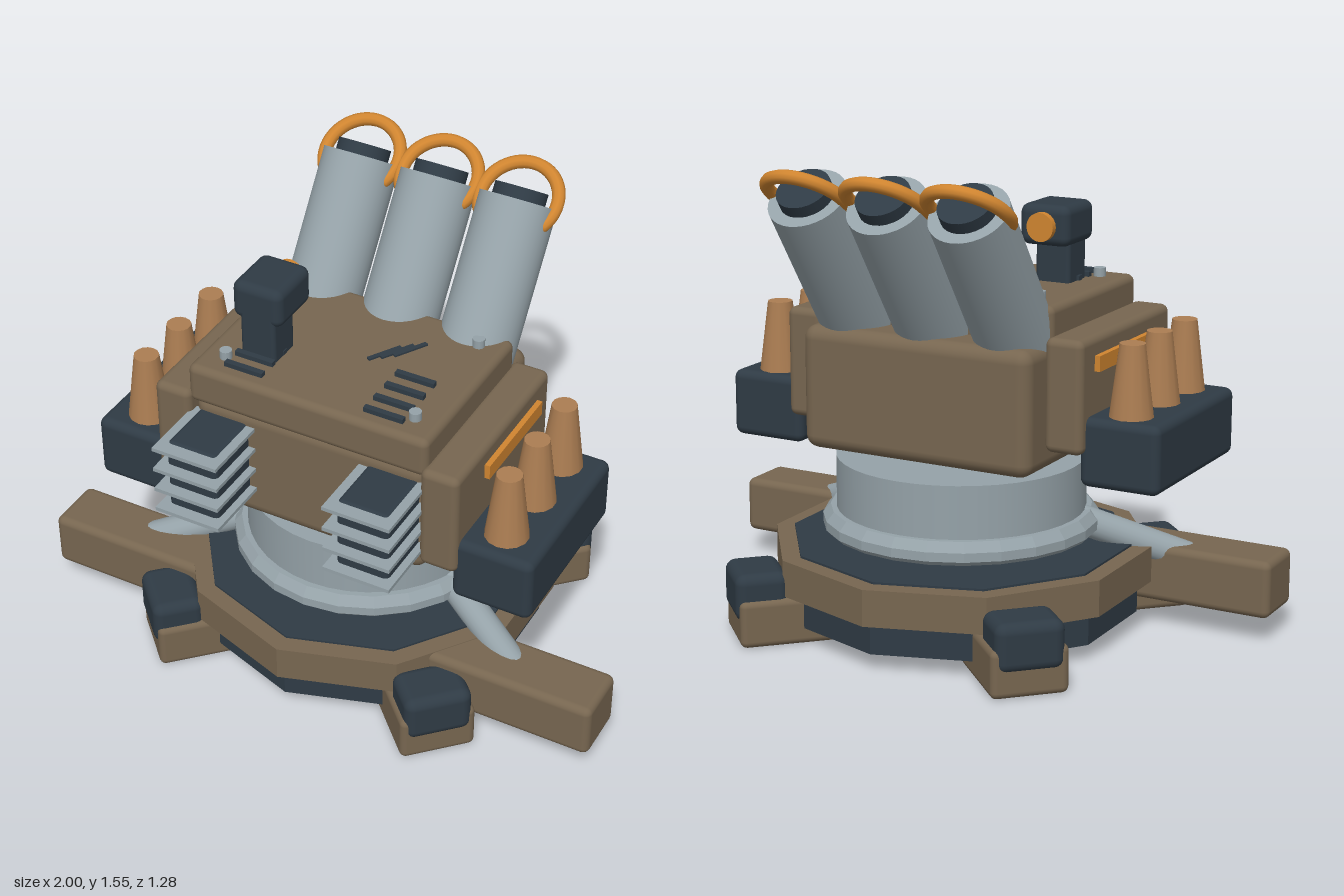
import * as THREE from 'three';
import { RoundedBoxGeometry } from 'three/addons/geometries/RoundedBoxGeometry.js';

const mat = (color, flatShading = false) => new THREE.MeshStandardMaterial({ color, flatShading });
const brown = mat(0x776650), dark = mat(0x2f3b45), steel = mat(0x95a2a8);
const orange = mat(0xd08530), copper = mat(0xab7d52);
const brownFlat = mat(0x776650, true), darkFlat = mat(0x2f3b45, true), steelFlat = mat(0x95a2a8, true);

export function createModel() {
  const model = new THREE.Group();
  const baseZ = -0.01;

  const add = (name, geometry, material, x = 0, y = 0, z = 0, parent = model) => {
    const mesh = new THREE.Mesh(geometry, material);
    mesh.name = name;
    mesh.position.set(x, y, z);
    parent.add(mesh);
    return mesh;
  };
  // Rounded block given by its lower and upper limits
  const block = (name, material, [x0, x1], [y0, y1], [z0, z1], r = 0.025, parent = model) =>
    add(name, new RoundedBoxGeometry(x1 - x0, y1 - y0, z1 - z0, 3, r), material,
      (x0 + x1) / 2, (y0 + y1) / 2, (z0 + z1) / 2, parent);
  const plate = (name, material, w, h, d, x, y, z) =>
    add(name, new THREE.BoxGeometry(w, h, d), material, x, y, z);
  // Disc between two heights
  const disc = (name, material, r, y0, y1, sides) =>
    add(name, new THREE.CylinderGeometry(r, r, y1 - y0, sides), material, 0, (y0 + y1) / 2, baseZ);
  // Mirrored interval for the side s
  const span = (s, a, b) => (s > 0 ? [a, b] : [-b, -a]);

  // Faceted base
  disc('baseUnderside', darkFlat, 0.585, 0.055, 0.165, 10);
  disc('basePlate', brownFlat, 0.63, 0.16, 0.28, 10);
  disc('baseDeck', darkFlat, 0.568, 0.27, 0.287, 10);

  // Four diagonal feet
  for (let i = 0; i < 4; i++) {
    const foot = new THREE.Group();
    foot.name = 'foot';
    foot.position.z = baseZ;
    foot.rotation.y = Math.PI / 4 + i * Math.PI / 2;
    block('footPad', brown, [-0.125, 0.125], [0, 0.157], [0.43, 0.765], 0.022, foot);
    block('footClamp', dark, [-0.112, 0.112], [0.08, 0.24], [0.6, 0.775], 0.035, foot);
    model.add(foot);
  }

  // Turntable
  const collar = [[0, 0.32], [0.44, 0.32], [0.455, 0.335], [0.455, 0.365], [0.43, 0.395], [0, 0.4]];
  add('turntableCollar', new THREE.LatheGeometry(collar.map(p => new THREE.Vector2(...p)), 24),
    steelFlat, 0, 0, baseZ);
  disc('turntable', steel, 0.41, 0.38, 0.57, 40);

  // Body
  block('bodyCore', brown, [-0.41, 0.41], [0.603, 1.01], [-0.335, 0.405], 0.045);
  block('bodyLid', brown, [-0.42, 0.42], [0.99, 1.127], [-0.195, 0.415], 0.025);

  for (const s of [1, -1]) {
    // Outrigger with its brace
    block('outrigger', brown, span(s, 0.42, 1), [0.087, 0.278], [0.203, 0.408], 0.025);
    const a = new THREE.Vector3(s * 0.7, 0.225, 0.29), b = new THREE.Vector3(s * 0.36, 0.36, 0.12);
    const brace = add('outriggerBrace', new THREE.CylinderGeometry(0.05, 0.05, a.distanceTo(b), 20), steel);
    brace.position.addVectors(a, b).multiplyScalar(0.5);
    brace.quaternion.setFromUnitVectors(new THREE.Vector3(0, 1, 0), b.clone().sub(a).normalize());

    // Side armour, light strip and cone pods
    block('sideArmour', brown, span(s, 0.405, 0.535), [0.67, 1.035], [-0.22, 0.435], 0.025);
    plate('sideStrip', orange, 0.03, 0.05, 0.375, s * 0.538, 0.95, 0.06);
    block('sidePod', dark, span(s, 0.51, 0.78), [0.565, 0.788], [-0.185, 0.415], 0.028);
    for (const z of [0.305, 0.11, -0.09])
      add('podCone', new THREE.CylinderGeometry(0.041, 0.072, 0.24, 14), copper, s * 0.645, 0.9, z);

    // Front radiator with four fins
    block('radiatorCore', dark, span(s, 0.21, 0.39), [0.66, 0.962], [0.38, 0.6], 0.018);
    for (let i = 0; i < 4; i++)
      plate('radiatorFin', steel, 0.23, 0.013, 0.25, s * 0.3, 0.715 + i * 0.0785, 0.515);

    // Vents and bolts on the lid
    for (const z of [0.22, 0.29, 0.355])
      plate('lidVent', dark, 0.135, 0.016, 0.02, s * 0.245, 1.136, z);
    for (const z of [-0.11, 0.32])
      add('lidBolt', new THREE.CylinderGeometry(0.02, 0.02, 0.035, 12), steel, s * 0.333, 1.138, z);
  }

  // Extra vent and slanted marks
  plate('lidVent', dark, 0.135, 0.016, 0.02, 0.245, 1.136, 0.15);
  for (let i = 0; i < 3; i++)
    plate('lidSlash', dark, 0.015, 0.006, 0.12, 0.11 + i * 0.045, 1.155 + i * 0.022, 0.1).rotation.y = -0.53;

  // Launch tubes, leaning backwards, each with a bore plug and an open hoop
  const lean = THREE.MathUtils.degToRad(35), arc = Math.PI * 1.35;
  for (const x of [-0.283, 0, 0.283]) {
    const tube = new THREE.Group();
    tube.name = 'launchTube';
    tube.position.set(x, 1.45, -0.475);
    tube.rotation.x = -lean;
    add('tubeBarrel', new THREE.CylinderGeometry(0.128, 0.128, 0.7, 36), steel, 0, -0.35, 0, tube);
    add('tubeBore', new THREE.CylinderGeometry(0.088, 0.088, 0.08, 28), dark, 0, 0, 0, tube);
    model.add(tube);
    const ring = new THREE.TorusGeometry(0.13, 0.022, 10, 36, arc).rotateZ((Math.PI - arc) / 2);
    add('tubeHoop', ring, orange, x, 1.455, -0.475).rotation.x = lean - Math.PI / 2;
    // Caps on the hoop ends
    for (const s of [1, -1]) {
      const t = (Math.PI - arc) / 2, u = 0.13 * Math.sin(t);
      const cap = add('hoopEnd', new THREE.SphereGeometry(0.0215, 10, 8), orange);
      cap.position.set(x + s * 0.13 * Math.cos(t), 1.455 + u * Math.sin(lean), -0.475 - u * Math.cos(lean));
    }
  }

  // Sensor mast with a lens facing the rear
  block('sensorMast', dark, [-0.303, -0.18], [1.1, 1.3], [0.155, 0.28], 0.015);
  block('sensorHead', dark, [-0.333, -0.157], [1.255, 1.388], [0.08, 0.28], 0.03);
  add('sensorLens', new THREE.CylinderGeometry(0.047, 0.047, 0.04, 20).rotateX(Math.PI / 2),
    orange, -0.245, 1.32, 0.078);

  return model;
}
